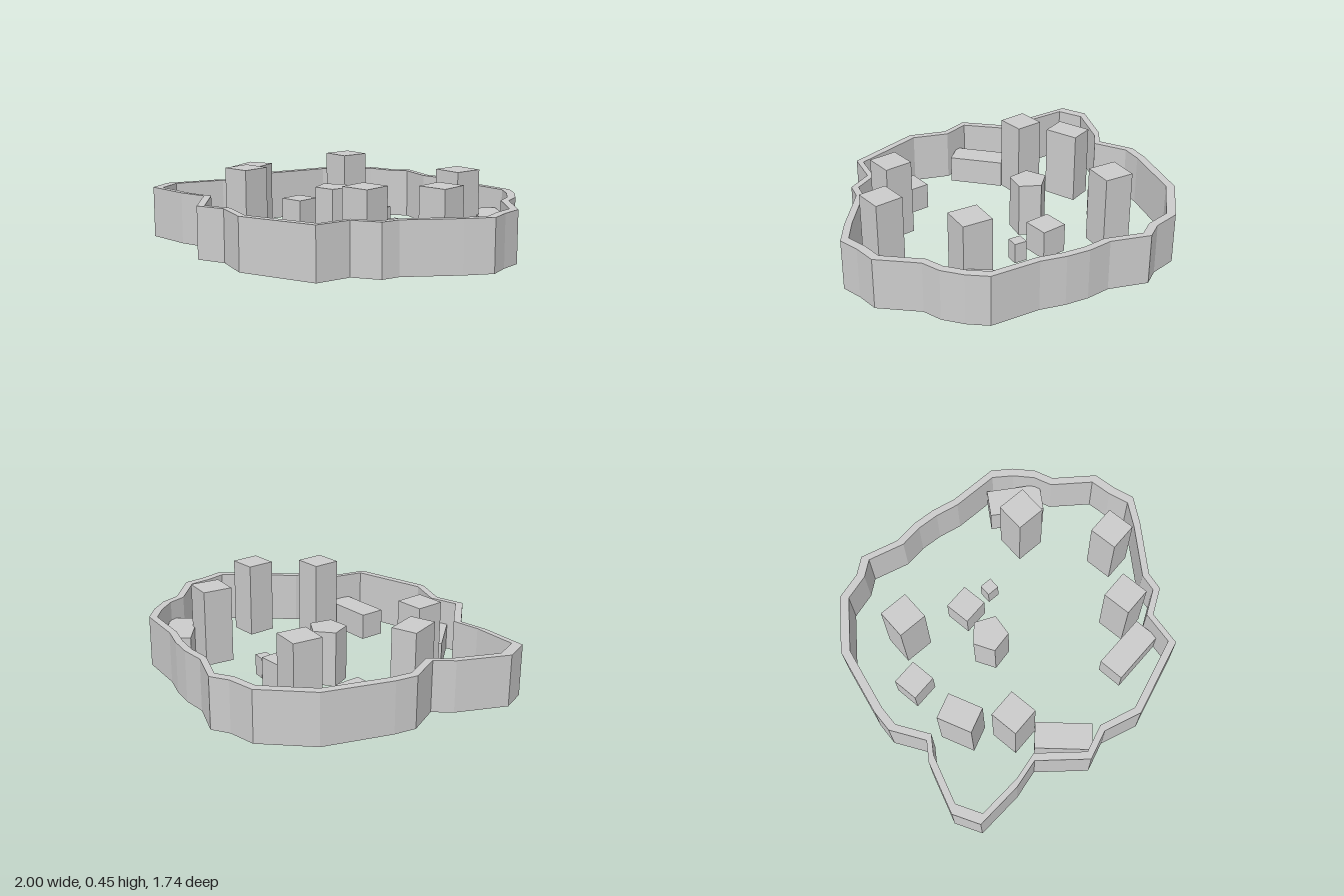
import * as THREE from 'three';

const material = new THREE.MeshStandardMaterial({ color: 0xcccccc, flatShading: true });

// Plan of the wall's outer face as x, z
const outline = [
  [-0.437, -0.872], [-0.215, -0.815], [-0.075, -0.835], [0.06, -0.828], [0.203, -0.8], [0.488, -0.8],
  [0.593, -0.724], [0.683, -0.627], [0.728, -0.522], [0.933, -0.366], [0.958, -0.237], [1, -0.118],
  [0.918, 0.028], [0.733, 0.298], [0.718, 0.403], [0.58, 0.493], [0.56, 0.697], [0.133, 0.862],
  [-0.085, 0.806], [-0.245, 0.872], [-0.48, 0.677], [-0.645, 0.722], [-0.92, 0.745], [-1, 0.602],
  [-0.913, 0.308], [-0.845, 0.207], [-0.963, 0.027], [-0.958, -0.102], [-0.883, -0.493], [-0.683, -0.758],
  [-0.527, -0.803],
];

// Name, centre x, centre z, width, depth, height, turn in degrees
const blocks = [
  ['towerBackLeft', 0.41, -0.443, 0.172, 0.172, 0.447, 0],
  ['towerBackRight', -0.505, -0.388, 0.172, 0.172, 0.447, 0],
  ['towerFrontLeft', 0.502, 0.328, 0.166, 0.166, 0.447, 8.8],
  ['towerFrontRight', -0.414, 0.431, 0.166, 0.166, 0.447, 8.8],
  ['towerLeft', 0.716, -0.011, 0.166, 0.166, 0.44, 8.8],
  ['gatehouse', -0.627, 0.237, 0.148, 0.203, 0.42, 25],
  ['hutRight', -0.662, -0.14, 0.152, 0.152, 0.17, 8.8],
  ['hutBack', -0.146, -0.296, 0.152, 0.152, 0.17, 8.8],
  ['shed', 0.04, -0.304, 0.074, 0.07, 0.12, 0],
  ['longHouseBack', 0.504, -0.603, 0.317, 0.16, 0.19, -32.6],
  ['longHouseFront', 0.379, 0.526, 0.325, 0.15, 0.155, 7.6],
  ['longHouseRight', -0.243, 0.656, 0.322, 0.148, 0.16, -43],
];

export function createModel() {
  const group = new THREE.Group();
  const add = (name, geometry) => {
    const mesh = new THREE.Mesh(geometry, material);
    mesh.name = name;
    group.add(mesh);
    return mesh;
  };

  // Ring wall: the inner face is the outer one scaled toward the middle,
  // wound the other way so that both faces point out of the wall
  const ring = (s) => outline.map(([x, z]) => new THREE.Vector2(x * s, -z * s));
  const shape = new THREE.Shape(ring(1).reverse());
  shape.holes.push(new THREE.Path(ring(0.95)));
  const wall = new THREE.ExtrudeGeometry(shape, { depth: 0.295, bevelEnabled: false });
  add('ringWall', wall.rotateX(-Math.PI / 2)).position.y = 0.007;

  // Towers and houses
  for (const [name, x, z, w, d, h, turn] of blocks) {
    const block = add(name, new THREE.BoxGeometry(w, h, d));
    block.position.set(x, h / 2, z);
    block.rotation.y = THREE.MathUtils.degToRad(turn);
  }

  // Five-sided keep in the middle
  const keep = add('keep', new THREE.CylinderGeometry(0.108, 0.108, 0.317, 5));
  keep.position.set(-0.192, 0.1585, -0.029);
  keep.rotation.y = THREE.MathUtils.degToRad(-96);

  return group;
}
